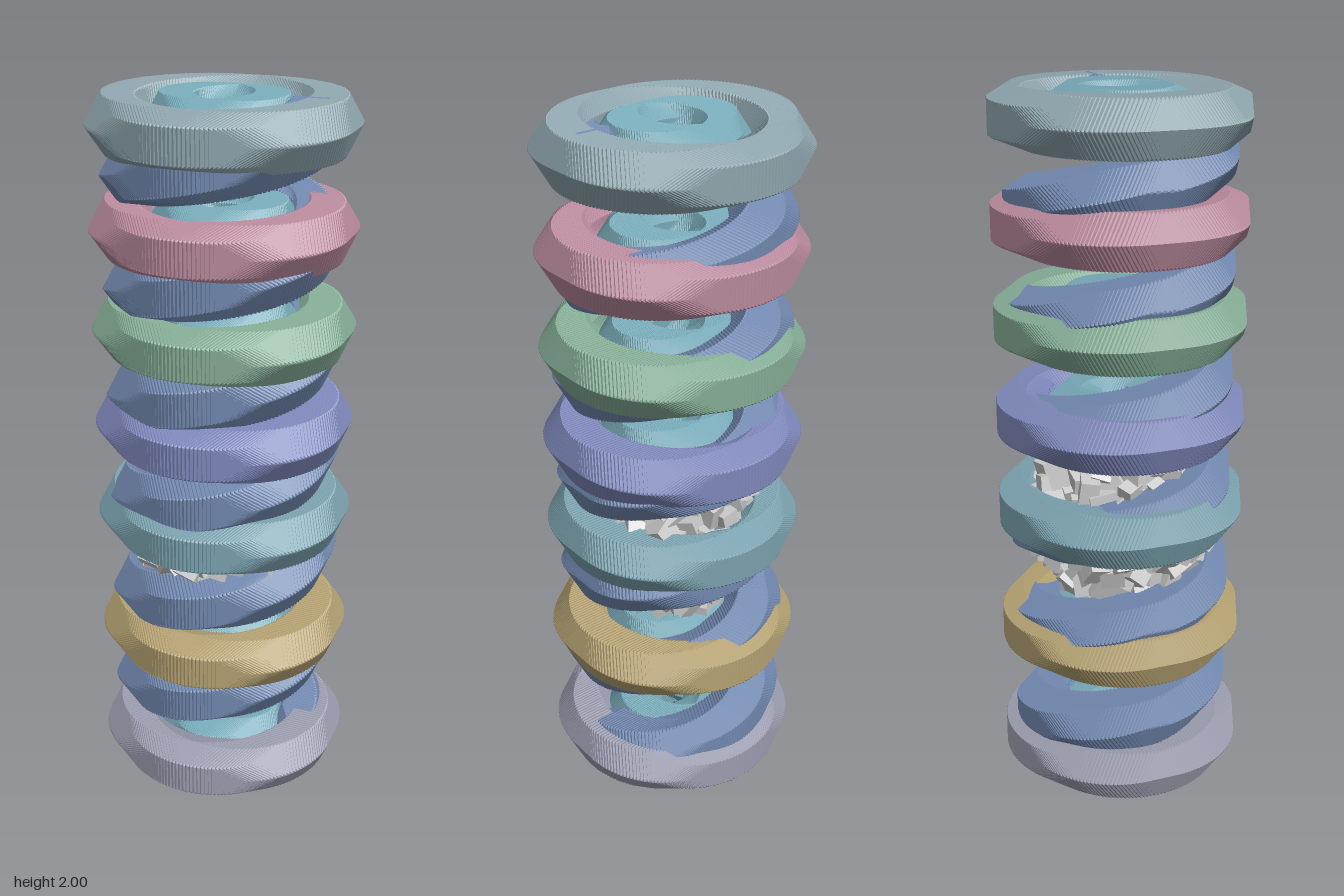
import * as THREE from 'three';
import { mergeGeometries } from 'three/addons/utils/BufferGeometryUtils.js';

const BEAD = 0.0905;

function mat(color) {
  return new THREE.MeshStandardMaterial({ color, flatShading: true });
}

// Unrotated faceted beads placed closely along a path make a stepped tube
function beadedPath(name, count, radius, pointAt, color) {
  const bead = new THREE.IcosahedronGeometry(radius, 0);
  const beads = [];
  for (let i = 0; i < count; i++) {
    const p = pointAt(i / count);
    beads.push(bead.clone().translate(p.x, p.y, p.z));
  }
  const mesh = new THREE.Mesh(mergeGeometries(beads), mat(color));
  mesh.name = name;
  return mesh;
}

function circle(radius, y) {
  return (t) => {
    const a = t * Math.PI * 2;
    return new THREE.Vector3(radius * Math.cos(a), y, -radius * Math.sin(a));
  };
}

function seeded(seed) {
  return () => {
    seed = (seed * 16807) % 2147483647;
    return seed / 2147483647;
  };
}

// Ball of tumbled bricks
function brickBall(centerY, radius, count) {
  const rand = seeded(41);
  const bricks = [];
  for (let i = 0; i < count; i++) {
    const y = 1 - (2 * (i + 0.5)) / count;
    const a = i * 2.39996;
    const s = Math.sqrt(1 - y * y);
    const r = radius * (0.86 + 0.14 * rand());
    const g = new THREE.BoxGeometry(0.05 + 0.04 * rand(), 0.04 + 0.02 * rand(), 0.05 + 0.03 * rand());
    g.rotateX(rand() * Math.PI).rotateY(rand() * Math.PI).rotateZ(rand() * Math.PI);
    g.translate(r * s * Math.cos(a), centerY + r * y, r * s * Math.sin(a));
    bricks.push(g);
  }
  const mesh = new THREE.Mesh(mergeGeometries(bricks), mat(0xcccccc));
  mesh.name = 'brickBall';
  return mesh;
}

export function createModel() {
  const group = new THREE.Group();
  group.name = 'ringTower';

  // Outer rings, each with a smaller ring nested inside
  const rings = [
    [0.08, 0x9c9eb0], [0.45, 0xb5a273], [0.82, 0x7ba2af], [1.095, 0x7f88bb],
    [1.37, 0x85ad96], [1.645, 0xb98a9d], [1.92, 0x8ea5ad],
  ];
  rings.forEach(([y, color], i) => {
    group.add(beadedPath('outerRing' + (i + 1), 160, BEAD, circle(0.275, y), color));
    group.add(beadedPath('innerRing' + (i + 1), 110, BEAD, circle(0.125, y), 0x78aab8));
  });

  // Coil climbing six turns through the rings
  const coil = (t) => {
    const p = circle(0.238, 0)(t * 6);
    return p.setY(0.08 + 1.84 * t);
  };
  group.add(beadedPath('coil', 840, 0.094, coil, 0x7289b0));

  group.add(brickBall(0.78, 0.255, 260));
  return group;
}
